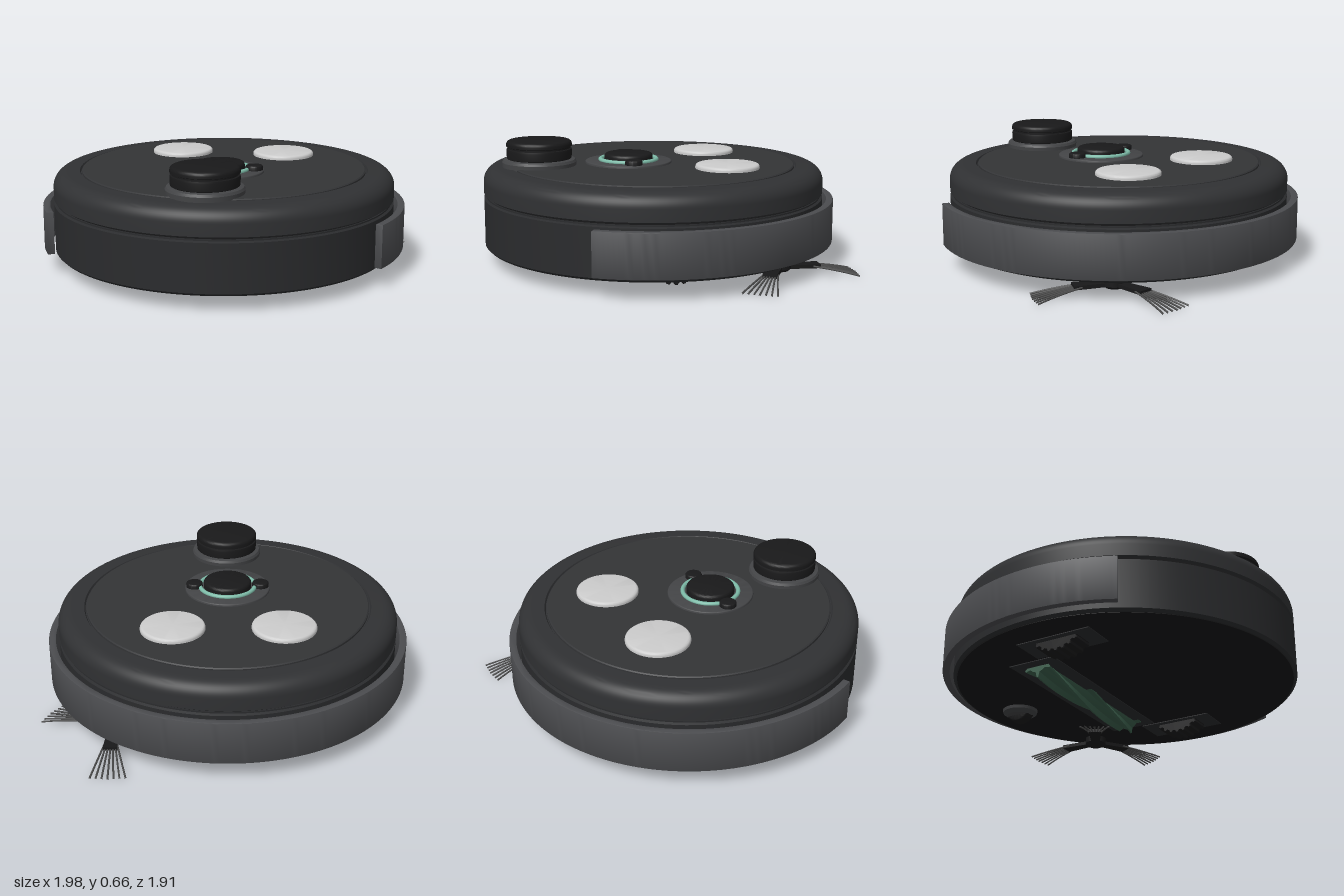
import * as THREE from 'three';
import { toCreasedNormals, mergeGeometries } from 'three/addons/utils/BufferGeometryUtils.js';

const mat = (color) => new THREE.MeshStandardMaterial({ color });
const M = {
  shell: mat(0x303133), lower: mat(0x2a2b2d), lid: mat(0x333436), bumper: mat(0x4b4c4f),
  black: mat(0x19191a), under: mat(0x161617), trim: mat(0x434446), teal: mat(0x7dbba8),
  grey: mat(0xcccccc), roller: mat(0x3b5f4c), fibre: mat(0x4a4a4a),
};

function add(parent, name, geo, material, x = 0, y = 0, z = 0) {
  const mesh = new THREE.Mesh(geo, material);
  mesh.name = name;
  mesh.position.set(x, y, z);
  parent.add(mesh);
  return mesh;
}

// Revolved profile, listed from bottom to top, with crisp corners
function lathe(points, segments = 64) {
  const geo = new THREE.LatheGeometry(points.map(([r, y]) => new THREE.Vector2(r, y)), segments);
  return toCreasedNormals(geo, 0.5);
}

// Quarter-round from the side (angle 0) to the top (angle 90)
function round(cx, cy, rx, ry, steps = 8) {
  return Array.from({ length: steps + 1 }, (_, i) => {
    const a = (i / steps) * Math.PI / 2;
    return [cx + rx * Math.cos(a), cy + ry * Math.sin(a)];
  });
}

// Disc with a softened upper rim
const softDisc = (r, y0, y1, e) => lathe([[0, y0], [r, y0], ...round(r - e, y1 - e, e, e, 5), [0, y1]]);

// Closed outline with a number of teeth between two radii
function toothedShape(teeth, rIn, rOut, share) {
  const pts = [];
  for (let i = 0; i < teeth; i++) {
    const step = Math.PI * 2 / teeth;
    for (const [r, f] of [[rIn, 0], [rIn, 0.5 - share], [rOut, 0.55 - share / 2], [rOut, 0.45 + share / 2], [rIn, 0.5 + share]]) {
      pts.push(new THREE.Vector2(r * Math.cos((i + f) * step), r * Math.sin((i + f) * step)));
    }
  }
  return new THREE.Shape(pts);
}

function addHull(g) {
  add(g, 'lowerBody', lathe([[0, 0.08], [0.912, 0.08], [0.925, 0.093], [0.925, 0.346], [0.912, 0.352],
    [0.912, 0.36], [0, 0.36]], 128), M.lower);
  add(g, 'underside', lathe([[0, 0.078], [0.905, 0.078], [0.905, 0.082]], 128), M.under);
  add(g, 'upperShell', lathe([[0, 0.355], [0.9, 0.355], [0.912, 0.368], [0.925, 0.374],
    ...round(0.845, 0.438, 0.08, 0.075, 12), [0.782, 0.516], [0.776, 0.505], [0, 0.505]], 128), M.shell);
  add(g, 'topLid', lathe([[0, 0.5], [0.77, 0.5], [0.77, 0.516], [0.764, 0.521], [0, 0.521]], 128), M.lid);

  // Bumper wraps the back and reaches past both sides
  const end = 0.475, arc = new THREE.Shape();
  arc.absarc(0, 0, 0.979, -end, Math.PI + end, false);
  arc.absarc(0, 0, 0.95, Math.PI + end, -end, true);
  const bumper = new THREE.ExtrudeGeometry(arc, {
    depth: 0.222, curveSegments: 80, bevelEnabled: true, bevelThickness: 0.005, bevelSize: 0.005, bevelSegments: 2,
  });
  bumper.rotateX(-Math.PI / 2);
  add(g, 'bumper', toCreasedNormals(bumper, 0.5), M.bumper, 0, 0.113, 0);
}

function addTopDetails(g) {
  for (const s of [-1, 1]) add(g, 'greyPad', softDisc(0.171, 0.515, 0.545, 0.016), M.grey, s * 0.291, 0, -0.348);

  // Central control with lit ring and two small side knobs
  const control = new THREE.Group();
  control.name = 'centralControl';
  control.position.z = 0.138;
  g.add(control);
  add(control, 'controlBase', softDisc(0.236, 0.515, 0.534, 0.008), M.trim);
  const ring = new THREE.TorusGeometry(0.153, 0.012, 10, 64);
  ring.rotateX(Math.PI / 2);
  add(control, 'lightRing', ring, M.teal, 0, 0.538, 0);
  add(control, 'controlButton', softDisc(0.132, 0.53, 0.574, 0.018), M.black);
  for (const s of [-1, 1]) add(control, 'sideKnob', softDisc(0.046, 0.53, 0.56, 0.01), M.black, s * 0.184, 0, 0);

  // Sensor turret at the front
  const turret = new THREE.Group();
  turret.name = 'sensorTurret';
  turret.position.z = 0.625;
  g.add(turret);
  add(turret, 'turretCollar', lathe([[0, 0.5], [0.198, 0.5], [0.2, 0.54], [0.193, 0.553], [0.178, 0.557], [0, 0.557]]), M.trim);
  add(turret, 'turretDrum', lathe([[0.16, 0.55], [0.174, 0.56], [0.176, 0.6], [0.174, 0.61], [0.166, 0.613], [0.166, 0.62],
    [0.176, 0.624], ...round(0.156, 0.636, 0.02, 0.02, 5), [0, 0.657]]), M.black);
}

function addWheels(g) {
  for (const s of [-1, 1]) {
    const wheel = new THREE.Group();
    wheel.name = 'driveWheel';
    wheel.position.set(s * 0.65, 0, 0.01);
    g.add(wheel);
    add(wheel, 'wheelWell', new THREE.BoxGeometry(0.19, 0.012, 0.42), M.lower, 0, 0.08, 0);
    const tyre = new THREE.ExtrudeGeometry(toothedShape(26, 0.158, 0.17, 0.3), {
      depth: 0.1, bevelEnabled: true, bevelThickness: 0.012, bevelSize: 0.005, bevelSegments: 2,
    });
    tyre.translate(0, 0, -0.05).rotateY(Math.PI / 2);
    add(wheel, 'tyre', toCreasedNormals(tyre, 0.4), M.black, 0, 0.183, 0);
  }

  // Swivel wheel near the back
  const caster = new THREE.Group();
  caster.name = 'casterWheel';
  caster.position.z = -0.69;
  g.add(caster);
  add(caster, 'casterMount', lathe([[0, 0.045], [0.07, 0.045], [0.095, 0.062], [0.1, 0.08]], 40), M.trim);
  const roll = softDisc(0.08, -0.03, 0.03, 0.015);
  roll.rotateZ(Math.PI / 2);
  add(caster, 'casterRoll', roll, M.black, 0, 0.088, 0);
}

function addMainBrush(g) {
  add(g, 'brushWell', new THREE.BoxGeometry(1.08, 0.012, 0.27), M.lower, 0, 0.08, -0.25);
  // Finned roller, twisted along its length
  const len = 0.96;
  const roller = new THREE.ExtrudeGeometry(toothedShape(6, 0.06, 0.088, 0.2), { depth: len, steps: 40, bevelEnabled: false });
  const p = roller.attributes.position;
  for (let i = 0; i < p.count; i++) {
    const a = (p.getZ(i) / len) * 1.9, x = p.getX(i), y = p.getY(i);
    p.setXY(i, x * Math.cos(a) - y * Math.sin(a), x * Math.sin(a) + y * Math.cos(a));
  }
  roller.translate(0, 0, -len / 2).rotateY(Math.PI / 2);
  add(g, 'mainBrush', toCreasedNormals(roller, 0.5), M.roller, 0, 0.101, -0.25);
}

function addSideBrush(g) {
  const brush = new THREE.Group();
  brush.name = 'sideBrush';
  brush.position.set(0.605, 0, -0.552);
  g.add(brush);
  add(brush, 'brushHub', lathe([[0, 0.032], [0.045, 0.032], [0.06, 0.045], [0.06, 0.08]], 32), M.black);
  for (let i = 0; i < 3; i++) {
    const arm = new THREE.Group();
    arm.name = 'brushArm';
    arm.rotation.y = Math.PI / 2 + i * Math.PI * 2 / 3;
    brush.add(arm);
    // Flat spoke, wider towards its tip
    const spoke = new THREE.BoxGeometry(0.17, 0.02, 0.05);
    const p = spoke.attributes.position;
    for (let k = 0; k < p.count; k++) if (p.getX(k) > 0) p.setZ(k, p.getZ(k) * 1.5);
    add(arm, 'spoke', spoke, M.black, 0.125, 0.052, 0);
    // Fan of drooping bristles
    const hairs = [];
    for (let j = -3; j <= 3; j++) {
      const path = new THREE.QuadraticBezierCurve3(
        new THREE.Vector3(0.17, 0.052, j * 0.011),
        new THREE.Vector3(0.29, 0.036, j * 0.02),
        new THREE.Vector3(0.412 - Math.abs(j) * 0.003, 0.005, j * 0.03));
      hairs.push(new THREE.TubeGeometry(path, 6, 0.005, 6));
    }
    add(arm, 'bristles', mergeGeometries(hairs), M.fibre);
  }
}

export function createModel() {
  const model = new THREE.Group();
  model.name = 'robotVacuum';
  const g = new THREE.Group();
  g.name = 'body';
  g.position.set(-0.016, 0, 0.02);
  model.add(g);
  addHull(g);
  addTopDetails(g);
  addWheels(g);
  addMainBrush(g);
  addSideBrush(g);
  return model;
}
